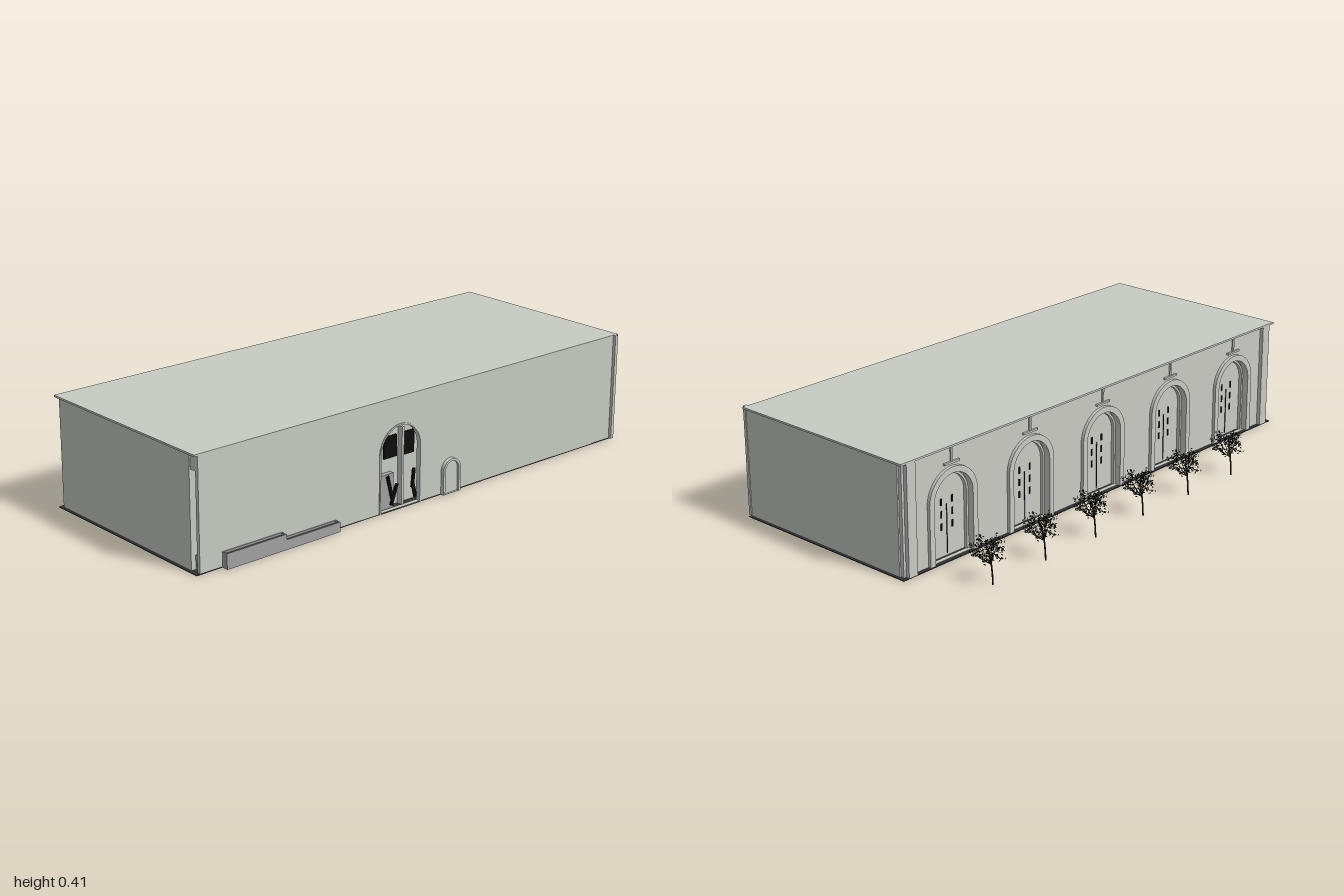
import * as THREE from 'three';

const mat = (name, color, side = THREE.FrontSide) => {
  const m = new THREE.MeshStandardMaterial({ color, side });
  m.name = name;
  return m;
};

export function createModel() {
  const root = new THREE.Group();
  root.name = 'archedHall';
  const plaster = mat('plaster', 0xc8cbc3);
  const stone = mat('stone', 0xa2a2a3);
  const dark = mat('darkFloor', 0x343434);
  const soil = mat('soil', 0x4c4a50);
  const black = mat('black', 0x0c0d0c);
  const leafDark = mat('darkLeaf', 0x171c10, THREE.DoubleSide);
  const leafGreen = mat('greenLeaf', 0x2c3a1c, THREE.DoubleSide);
  const bark = mat('bark', 0x2a2118);

  const add = (name, geometry, material, parent = root) => {
    const m = new THREE.Mesh(geometry, material);
    m.name = name;
    parent.add(m);
    return m;
  };
  // Box given by its minimum and maximum corners
  const box = (name, material, x0, x1, y0, y1, z0, z1, parent) => {
    const m = add(name, new THREE.BoxGeometry(x1 - x0, y1 - y0, z1 - z0), material, parent);
    m.position.set((x0 + x1) / 2, (y0 + y1) / 2, (z0 + z1) / 2);
    return m;
  };
  // Round-headed outline in the z-y plane
  const trace = (path, z, w, h, y = 0) => {
    const r = w / 2;
    path.moveTo(z - r, y);
    path.lineTo(z + r, y);
    path.lineTo(z + r, h - r);
    path.absarc(z, h - r, r, 0, Math.PI, false);
    path.closePath();
    return path;
  };
  // Extrude a z-y shape from x0 to x1
  const slab = (name, shape, material, x0, x1) => {
    const g = new THREE.ExtrudeGeometry(shape, { depth: x1 - x0, bevelEnabled: false, curveSegments: 14 });
    g.rotateY(-Math.PI / 2).translate(x1, 0, 0);
    return add(name, g, material);
  };
  const arch = (name, z, w, h, t, x0, x1, material = plaster) => {
    const s = trace(new THREE.Shape(), z, w, h);
    s.holes.push(trace(new THREE.Path(), z, w - 2 * t, h - t, 0.001));
    return slab(name, s, material, x0, x1);
  };
  const wallShape = () => {
    const s = new THREE.Shape();
    s.moveTo(-0.985, 0.003);
    s.lineTo(0.985, 0.003);
    s.lineTo(0.985, 0.405);
    s.lineTo(-0.985, 0.405);
    s.closePath();
    return s;
  };

  // Floor, roof and hall body
  box('floor', dark, -0.265, 0.52, 0, 0.003, -1, 1);
  box('roof', plaster, -0.265, 0.52, 0.405, 0.412, -1, 1);
  box('hallBody', plaster, -0.225, 0.48, 0.003, 0.405, -0.98, 0.98);
  box('frontWall', plaster, -0.25, 0.48, 0.003, 0.405, 0.98, 0.99);
  box('backWall', plaster, -0.235, 0.515, 0.003, 0.405, -0.99, -0.98);

  // Right wall with the entrance opening
  const right = wallShape();
  right.holes.push(trace(new THREE.Path(), 0.112, 0.19, 0.31, 0.004));
  slab('rightWall', right, plaster, 0.505, 0.519);
  arch('entranceSurround', 0.112, 0.196, 0.313, 0.006, 0.503, 0.522);
  box('cavityLintel', plaster, 0.48, 0.505, 0.35, 0.405, 0.96, 0.985);
  box('cavitySill', stone, 0.484, 0.5, 0.003, 0.055, 0.95, 0.975);

  // Entrance door leaves with glazing
  box('doorPanel', stone, 0.481, 0.5, 0.003, 0.13, 0.125, 0.206);
  box('doorPost', plaster, 0.481, 0.503, 0.003, 0.29, 0.08, 0.09);
  box('doorGlassLeft', black, 0.481, 0.488, 0.182, 0.262, 0.1, 0.16);
  box('doorGlassRight', black, 0.481, 0.488, 0.178, 0.262, 0.018, 0.072);
  box('doorEdge', black, 0.481, 0.5, 0.17, 0.23, 0.2, 0.206);
  for (const [z, y, h, tilt] of [[0.145, 0.08, 0.09, 0.25], [0.125, 0.05, 0.08, -0.35], [0.035, 0.09, 0.07, -0.1], [0.03, 0.045, 0.06, 0.25]]) {
    const m = add('doorBrace', new THREE.BoxGeometry(0.007, h, 0.012), black);
    m.position.set(0.502, y, z);
    m.rotation.x = tilt;
  }

  // Small blind arch and corner pipe
  arch('nicheFrame', -0.127, 0.084, 0.13, 0.009, 0.519, 0.533);
  slab('nichePanel', trace(new THREE.Shape(), -0.127, 0.07, 0.122), plaster, 0.519, 0.524);
  box('cornerPipe', plaster, 0.519, 0.531, 0.003, 0.412, -0.99, -0.976);

  // Stepped planters
  for (const [z0, z1, h] of [[0.41, 0.645, 0.036], [0.645, 0.895, 0.056]]) {
    const p = new THREE.Group();
    p.name = 'planter';
    root.add(p);
    box('planterBase', stone, 0.52, 0.545, 0, h - 0.012, z0, z1, p);
    box('planterOuterRim', stone, 0.541, 0.545, h - 0.012, h, z0, z1, p);
    box('planterInnerRim', stone, 0.52, 0.524, h - 0.012, h, z0, z1, p);
    for (const z of [z0, z1 - 0.005]) box('planterEnd', stone, 0.524, 0.541, h - 0.012, h, z, z + 0.005, p);
    box('planterSoil', soil, 0.524, 0.541, h - 0.012, h - 0.007, z0 + 0.005, z1 - 0.005, p);
  }

  // Left wall with five arched bays, shutters slits and wall brackets
  const left = wallShape();
  const bays = [-0.76, -0.38, 0, 0.38, 0.76];
  for (const z of bays) left.holes.push(trace(new THREE.Path(), z, 0.2, 0.32, 0.004));
  slab('leftWall', left, plaster, -0.25, -0.236);
  for (const z of bays) {
    arch('bayArch', z, 0.225, 0.333, 0.022, -0.262, -0.236);
    arch('bayInnerArch', z, 0.18, 0.308, 0.008, -0.238, -0.225);
    box('doorSeam', black, -0.2275, -0.2245, 0.01, 0.19, z - 0.001, z + 0.001);
    for (const dz of [-0.026, 0.026])
      for (const y of [0.1, 0.145, 0.19]) box('doorSlit', black, -0.2275, -0.2245, y, y + 0.025, z + dz - 0.003, z + dz + 0.003);
    box('bracketRod', plaster, -0.256, -0.25, 0.345, 0.4, z - 0.004, z + 0.004);
    box('bracketBar', plaster, -0.258, -0.25, 0.343, 0.35, z - 0.035, z + 0.035);
  }
  for (const s of [-1, 1]) {
    const a = s * 0.975, b = s * 0.935;
    box('pilaster', plaster, -0.265, -0.25, 0.003, 0.405, Math.min(a, b), Math.max(a, b));
  }

  // Tree crown: clumps of small tilted leaves around branch tips
  let seed = 7;
  const rnd = () => (seed = (seed * 16807) % 2147483647) / 2147483647;
  const ball = () => {
    const v = new THREE.Vector3();
    do v.set(rnd() * 2 - 1, rnd() * 2 - 1, rnd() * 2 - 1); while (v.length() > 1);
    return v;
  };
  const clumps = [];
  for (let i = 0; i < 38; i++) clumps.push(ball().multiply(new THREE.Vector3(0.066, 0.046, 0.064)).add(new THREE.Vector3(0.012, 0.122, 0)));
  const leaves = (perClump) => {
    const pos = [];
    for (const c of clumps) {
      for (let i = 0; i < perClump; i++) {
        const o = c.clone().addScaledVector(ball(), 0.014);
        const u = ball().normalize();
        const w = ball().cross(u).normalize().multiplyScalar(0.0028);
        u.multiplyScalar(0.0048);
        const q = [o.clone().add(u), o.clone().add(w), o.clone().sub(u), o.clone().sub(w)];
        for (const k of [0, 1, 2, 0, 2, 3]) pos.push(q[k].x, q[k].y, q[k].z);
      }
    }
    const g = new THREE.BufferGeometry();
    g.setAttribute('position', new THREE.Float32BufferAttribute(pos, 3));
    g.computeVertexNormals();
    return g;
  };
  const crownDark = leaves(9), crownGreen = leaves(2);
  const V = (x, y, z) => new THREE.Vector3(x, y, z);
  const trunk = new THREE.TubeGeometry(new THREE.CatmullRomCurve3([V(-0.012, 0, 0), V(-0.008, 0.035, 0.002), V(-0.004, 0.08, 0), V(0.006, 0.12, 0)]), 8, 0.0028, 6);
  const branches = clumps.filter((_, i) => i % 5 === 0).map((c) =>
    new THREE.TubeGeometry(new THREE.CatmullRomCurve3([V(-0.004, 0.07, 0), V(c.x * 0.5, 0.07 + (c.y - 0.07) * 0.4, c.z * 0.5), c]), 4, 0.0012, 4));
  for (let i = 0; i < 6; i++) {
    const t = new THREE.Group();
    t.name = 'tree';
    t.position.set(-0.483, 0, -0.82 + i * 0.254);
    root.add(t);
    add('trunk', trunk, bark, t);
    for (const b of branches) add('branch', b, bark, t);
    add('darkLeaves', crownDark, leafDark, t);
    add('greenLeaves', crownGreen, leafGreen, t);
  }
  return root;
}
